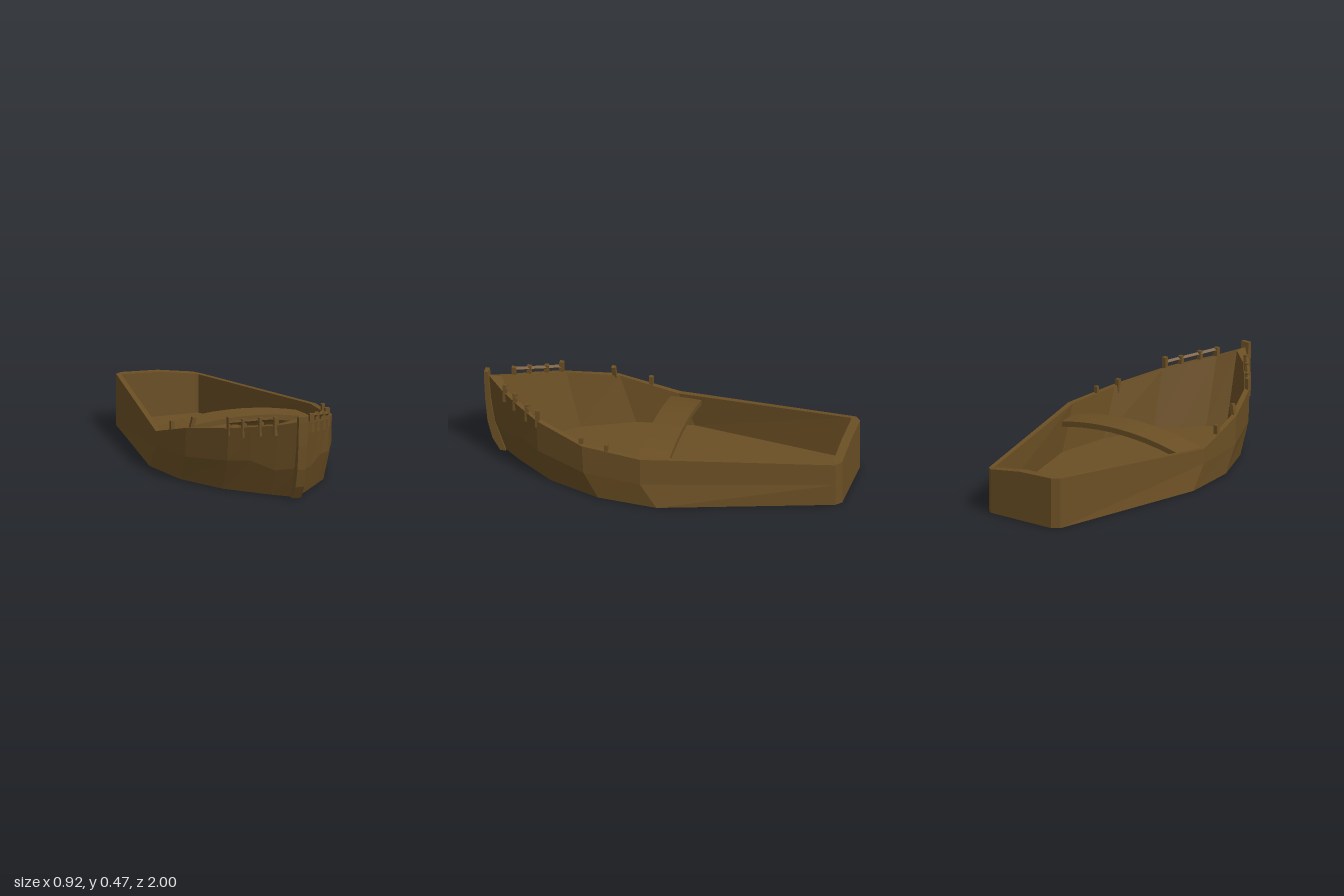
import * as THREE from 'three';

const wood = new THREE.MeshStandardMaterial({ color: 0x6b4f24, flatShading: true });
wood.name = 'brown wood';

function addMesh(parent, name, geometry) {
  const mesh = new THREE.Mesh(geometry, wood);
  mesh.name = name;
  parent.add(mesh);
  return mesh;
}

// Square bar between two points
function bar(parent, name, from, to, size) {
  const a = new THREE.Vector3(...from), b = new THREE.Vector3(...to);
  const mesh = addMesh(parent, name, new THREE.BoxGeometry(size, a.distanceTo(b), size));
  mesh.position.copy(a).add(b).multiplyScalar(0.5);
  mesh.quaternion.setFromUnitVectors(new THREE.Vector3(0, 1, 0), b.sub(a).normalize());
}

// Hull columns: x, z, rimY, midY, midShift, bottomShift, inner x, inner z
const bowHalf = [
  [0.1, 0.88, 0.40, 0.145, 0.035, 0.09, 0.09, 0.85],
  [0.2, 0.765, 0.375, 0.185, 0.02, 0.09, 0.185, 0.735],
  [0.29, 0.65, 0.35, 0.17, 0.01, 0.08, 0.275, 0.62],
  [0.42, 0.37, 0.30, 0.14, 0.01, 0.09, 0.395, 0.355],
  [0.46, 0.04, 0.28, 0.13, 0, 0.09, 0.43, 0.04],
];
const mirrored = bowHalf.map((c) => [-c[0], ...c.slice(1, 6), -c[6], c[7]]).reverse();
mirrored[0][2] = 0.212; // the right rim sags amidships
const columns = [
  [0, 0.98, 0.435, 0.175, 0.02, 0.09, 0, 0.91],
  ...bowHalf,
  [0.205, -0.97, 0.24, 0.12, 0, 0, 0.185, -0.945],
  [0.17, -1, 0.245, 0.12, 0, 0, 0.165, -0.95],
  [-0.03, -1, 0.273, 0.13, 0, 0, -0.03, -0.95],
  [-0.24, -1, 0.28, 0.13, 0, 0, -0.24, -0.95],
  [-0.28, -0.97, 0.28, 0.13, 0, 0, -0.258, -0.945],
  ...mirrored,
];

function hullGeometry() {
  const floorY = 0.03;
  const rings = [
    columns.map(([x, z, , , , s]) => [x, 0, z - s]),
    columns.map(([x, z, , y, s]) => [x, y, z - s]),
    columns.map(([x, z, y]) => [x, y, z]),
    columns.map(([, , y, , , , x, z]) => [x, y, z]),
    columns.map(([, , , , , s, x, z]) => [x, floorY, z - s]),
  ];
  const n = columns.length, points = rings.flat(2), index = [];
  // Walls: outside up, over the rim, inside down
  for (let r = 0; r < rings.length - 1; r++) {
    for (let i = 0; i < n; i++) {
      const j = (i + 1) % n;
      const a = r * n + i, b = r * n + j, c = b + n, d = a + n;
      index.push(a, b, c, a, c, d);
    }
  }
  // Underside and floor
  const under = 5 * n, floor = under + 1, last = 4 * n;
  points.push(0, 0, -0.1, 0, floorY, -0.1);
  for (let i = 0; i < n; i++) {
    const j = (i + 1) % n;
    index.push(under, j, i, floor, last + i, last + j);
  }
  const g = new THREE.BufferGeometry();
  g.setAttribute('position', new THREE.Float32BufferAttribute(points, 3));
  g.setIndex(index);
  const flat = g.toNonIndexed();
  flat.computeVertexNormals();
  return flat;
}

// Curved stem post, drawn as (z, y) and extruded across x
function stemGeometry() {
  const shape = new THREE.Shape([
    [0.91, 0], [0.953, 0.07], [0.98, 0.17], [0.993, 0.3], [1, 0.43], [1, 0.465],
    [0.978, 0.465], [0.965, 0.3], [0.94, 0.17], [0.88, 0],
  ].map(([z, y]) => new THREE.Vector2(z, y)));
  const g = new THREE.ExtrudeGeometry(shape, { depth: 0.05, bevelEnabled: false });
  g.translate(0, 0, -0.025);
  g.rotateY(-Math.PI / 2);
  return g;
}

// Arched seat plank across the hull
function seatGeometry() {
  const s = new THREE.Shape();
  s.moveTo(-0.425, 0.165);
  s.quadraticCurveTo(0, 0.28, 0.425, 0.185);
  s.lineTo(0.425, 0.215);
  s.quadraticCurveTo(0, 0.31, -0.425, 0.195);
  const g = new THREE.ExtrudeGeometry(s, { depth: 0.17, bevelEnabled: false, curveSegments: 10 });
  g.translate(0, 0, -0.09);
  return g;
}

export function createModel() {
  const boat = new THREE.Group();
  boat.name = 'rowingBoat';
  addMesh(boat, 'hull', hullGeometry());
  addMesh(boat, 'stemPost', stemGeometry());
  addMesh(boat, 'seat', seatGeometry());

  // Bow railings, one on each side
  const posts = [[0.102, 0.443, 0.865], [0.16, 0.43, 0.795], [0.226, 0.41, 0.715], [0.28, 0.41, 0.645]];
  for (const side of [1, -1]) {
    const railing = new THREE.Group();
    railing.name = side > 0 ? 'leftRailing' : 'rightRailing';
    for (const [x, top, z] of posts) {
      bar(railing, 'railingPost', [side * x, top - 0.1, z], [side * x, top, z], 0.024);
    }
    bar(railing, 'handrail', [side * 0.1, 0.433, 0.865], [side * 0.285, 0.378, 0.645], 0.016);
    boat.add(railing);
  }

  // Oar pegs
  bar(boat, 'oarPeg', [0.39, 0.26, 0.38], [0.39, 0.335, 0.38], 0.022);
  bar(boat, 'oarPeg', [0.422, 0.25, 0.235], [0.422, 0.327, 0.235], 0.02);
  bar(boat, 'oarPeg', [-0.4, 0.27, 0.38], [-0.38, 0.358, 0.385], 0.022);
  bar(boat, 'oarPeg', [-0.427, 0.22, 0.19], [-0.427, 0.3, 0.19], 0.022);
  return boat;
}
